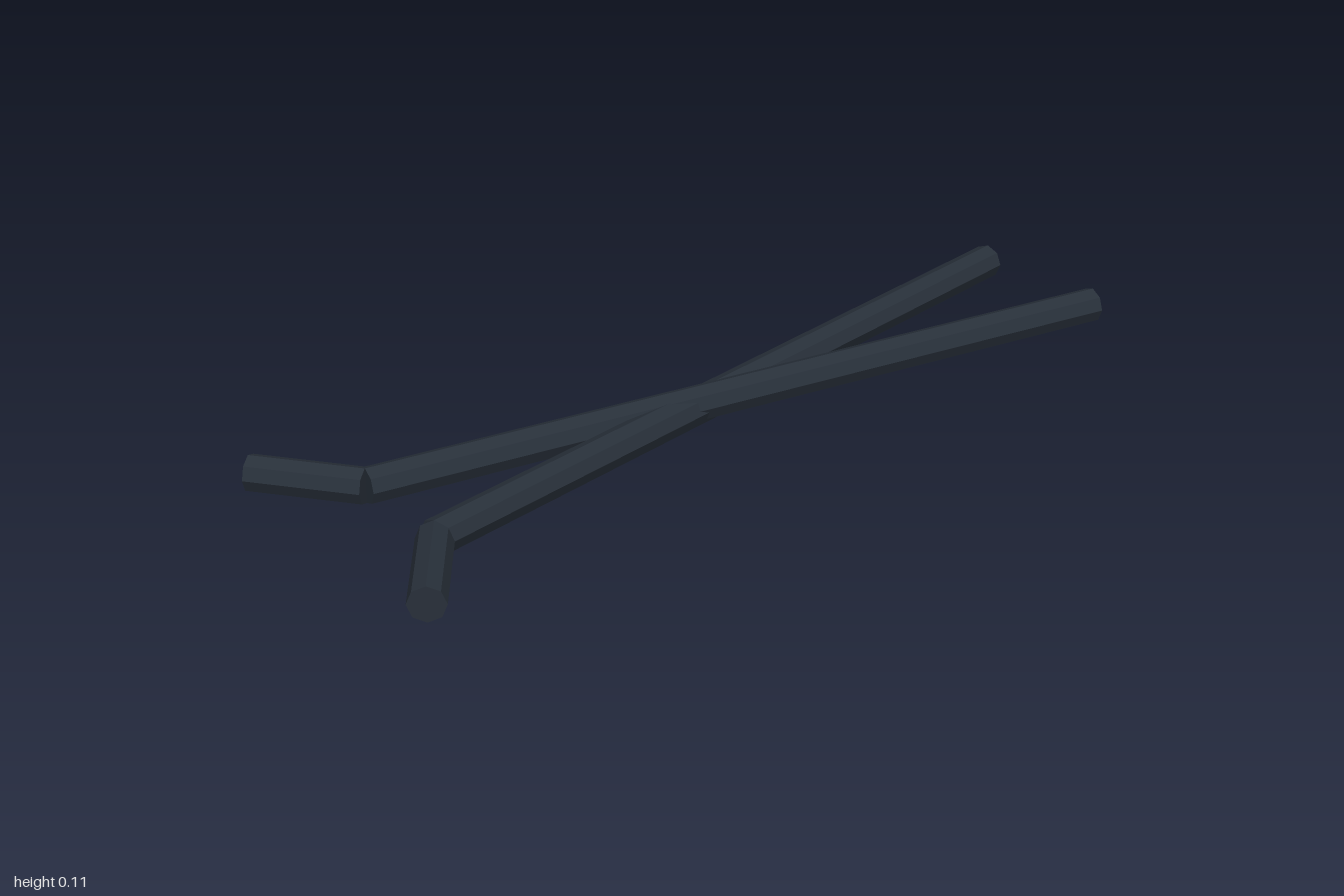
import * as THREE from 'three';

const RADIUS = 0.04;

export function createModel() {
  const model = new THREE.Group();
  model.name = 'crossedHookedRods';
  const darkSteel = new THREE.MeshStandardMaterial({ color: 0x28303a, flatShading: true });
  darkSteel.name = 'darkSteel';

  // Straight eight-sided bar between two points, with one edge on top
  function bar(name, from, to) {
    const geometry = new THREE.CylinderGeometry(RADIUS, RADIUS, from.distanceTo(to), 8);
    geometry.rotateX(Math.PI / 2);
    const mesh = new THREE.Mesh(geometry, darkSteel);
    mesh.name = name;
    mesh.position.copy(from).add(to).multiplyScalar(0.5);
    mesh.lookAt(to);
    return mesh;
  }

  // One rod: a long shaft sloping down to the back and a short bent hook in front
  function rod(name, side, height) {
    const group = new THREE.Group();
    group.name = name;
    const back = new THREE.Vector3(-side * 0.174, height - 0.019, -0.993);
    const bend = new THREE.Vector3(side * 0.125, height, 0.813);
    const tip = new THREE.Vector3(side * 0.325, height, 0.967);
    group.add(bar('shaft', back, bend), bar('hook', bend, tip));
    return group;
  }

  model.add(rod('leftHookedRod', 1, 0.062), rod('rightHookedRod', -1, 0.072));
  return model;
}
